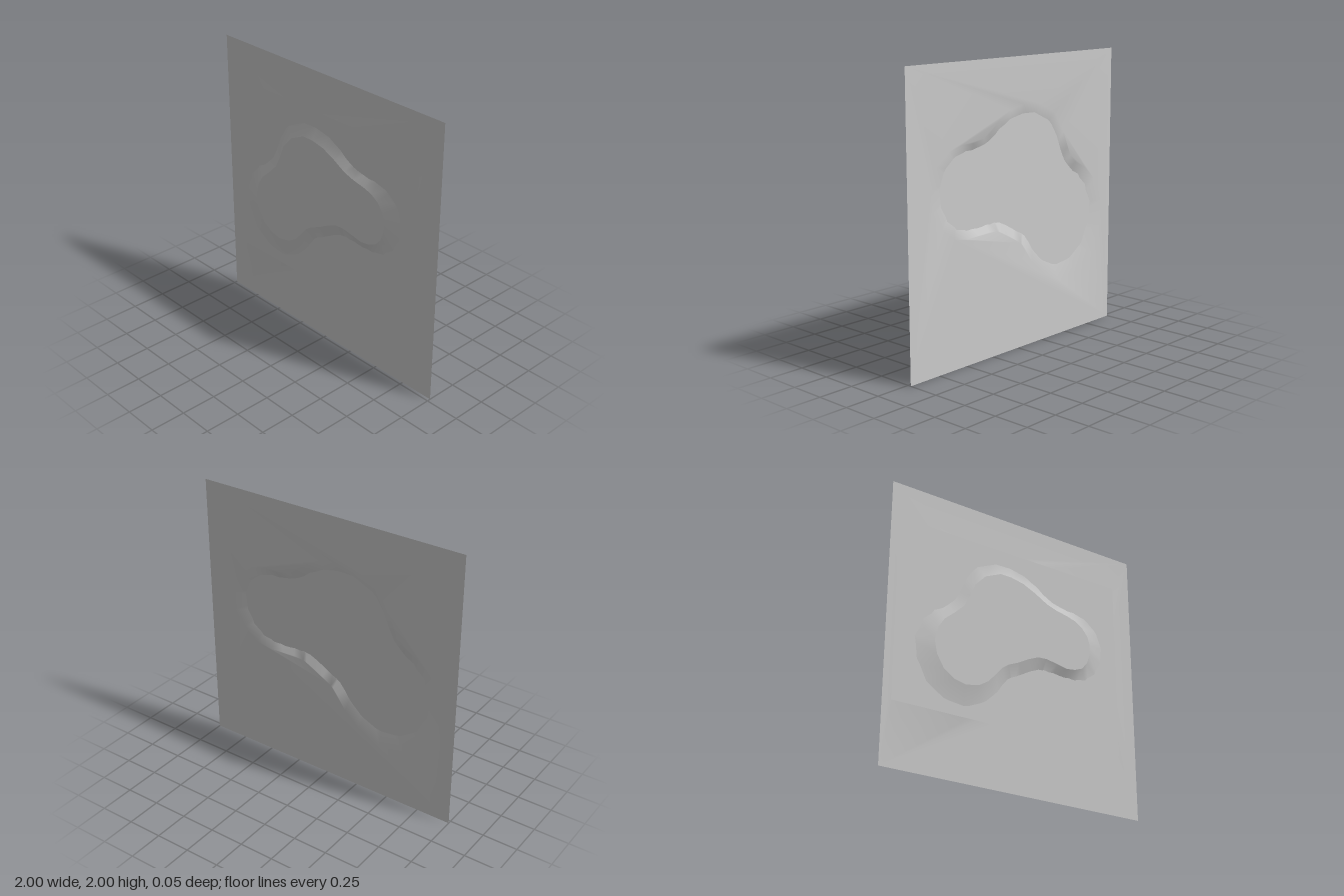
import * as THREE from 'three';
import { mergeGeometries, mergeVertices } from 'three/addons/utils/BufferGeometryUtils.js';

const LOW = -0.025, HIGH = 0.025, WATER = -0.003;

// Plateau rim, clockwise from the top: x, y, width of the slope below it
const RIM = [
  [-0.17, 1.53, 0.15], [-0.08, 1.53, 0.15], [0.02, 1.51, 0.15], [0.12, 1.465, 0.14],
  [0.22, 1.41, 0.12], [0.3, 1.385, 0.11], [0.4, 1.365, 0.11], [0.465, 1.345, 0.14],
  [0.52, 1.31, 0.18], [0.565, 1.255, 0.21], [0.585, 1.19, 0.22], [0.58, 1.115, 0.21],
  [0.555, 1.045, 0.18], [0.51, 0.995, 0.15], [0.45, 0.97, 0.12], [0.38, 0.96, 0.1],
  [0.3, 0.975, 0.11], [0.21, 0.99, 0.13], [0.14, 0.985, 0.14], [0.06, 0.95, 0.14],
  [-0.02, 0.905, 0.14], [-0.1, 0.87, 0.15], [-0.15, 0.835, 0.15], [-0.195, 0.78, 0.15],
  [-0.26, 0.71, 0.17], [-0.33, 0.665, 0.2], [-0.43, 0.645, 0.245], [-0.52, 0.665, 0.265],
  [-0.595, 0.715, 0.27], [-0.65, 0.805, 0.25], [-0.67, 0.9, 0.235], [-0.645, 1.0, 0.19],
  [-0.6, 1.07, 0.15], [-0.525, 1.135, 0.12], [-0.455, 1.205, 0.12], [-0.41, 1.29, 0.12],
  [-0.37, 1.39, 0.12], [-0.29, 1.475, 0.15],
];

export function createModel() {
  const group = new THREE.Group();
  const material = new THREE.MeshStandardMaterial({ color: 0xcccccc, side: THREE.DoubleSide });
  const add = (name, geometry) => {
    const mesh = new THREE.Mesh(geometry, material);
    mesh.name = name;
    group.add(mesh);
    return mesh;
  };

  // Rim outline, and the foot of the slope offset outwards from it
  const n = RIM.length;
  const rim = RIM.map(([x, y]) => new THREE.Vector2(x, y));
  const foot = rim.map((p, i) => {
    const t = rim[(i + 1) % n].clone().sub(rim[(i + n - 1) % n]).normalize();
    return new THREE.Vector2(-t.y, t.x).multiplyScalar(RIM[i][2]).add(p);
  });

  // Slope: a band between rim and foot
  const positions = [], index = [];
  for (let i = 0; i < n; i++) {
    positions.push(rim[i].x, rim[i].y, HIGH, foot[i].x, foot[i].y, LOW);
    const a = 2 * i, c = 2 * ((i + 1) % n);
    index.push(a, c + 1, a + 1, a, c, c + 1);
  }
  const slope = new THREE.BufferGeometry();
  slope.setAttribute('position', new THREE.Float32BufferAttribute(positions, 3));
  slope.setIndex(index);

  // Square ground sheet with a hole at the foot, blended smoothly into the slope
  const square = new THREE.Shape([[-1, 0], [1, 0], [1, 2], [-1, 2]].map(([x, y]) => new THREE.Vector2(x, y)));
  square.holes.push(new THREE.Path(foot));
  const sheet = new THREE.ShapeGeometry(square).translate(0, 0, LOW);
  sheet.deleteAttribute('normal');
  sheet.deleteAttribute('uv');
  const ground = mergeVertices(mergeGeometries([sheet, slope]), 1e-4);
  ground.computeVertexNormals();
  add('groundAndSlope', ground);

  // Flat top of the raised area
  add('plateau', new THREE.ShapeGeometry(new THREE.Shape(rim)).translate(0, 0, HIGH));

  // Flat rectangle cutting through the slope
  add('waterPlane', new THREE.PlaneGeometry(1.78, 1.3)).position.set(-0.057, 1.08, WATER);

  return group;
}
